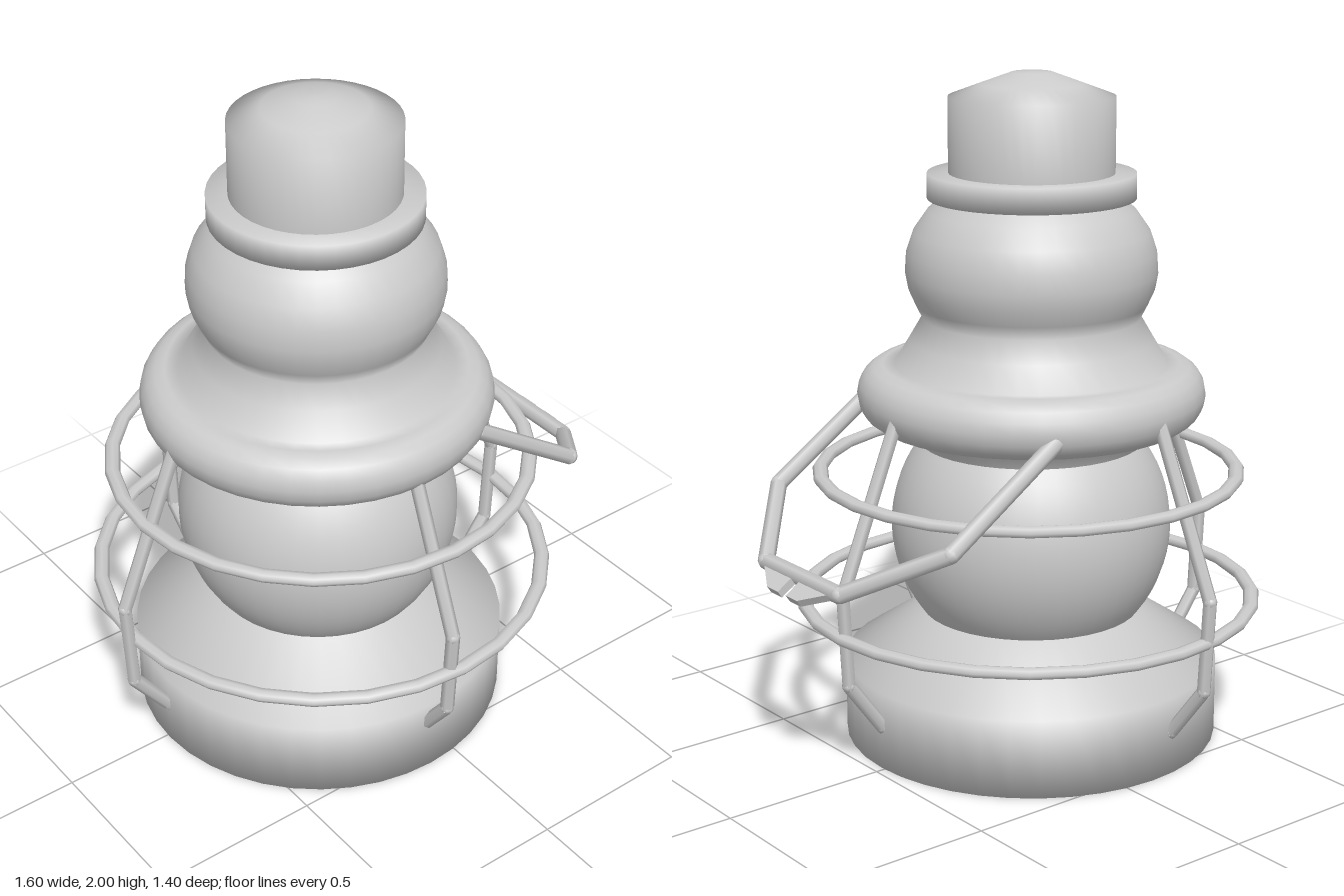
import * as THREE from 'three';

const material = new THREE.MeshStandardMaterial({ color: 0xcccccc, side: THREE.DoubleSide });
const v = (x, y, z) => new THREE.Vector3(x, y, z);

function part(name, geometry) {
  const mesh = new THREE.Mesh(geometry, material);
  mesh.name = name;
  return mesh;
}

// Turned part from [radius, height] pairs, listed bottom to top
function turned(name, profile) {
  return part(name, new THREE.LatheGeometry(profile.map(([r, y]) => new THREE.Vector2(r, y)), 40));
}

// Bent wire: a straight rod per segment and a small ball at each bend
function bentWire(name, points, radius) {
  const wire = new THREE.Group();
  wire.name = name;
  for (let i = 0; i < points.length - 1; i++) {
    const dir = points[i + 1].clone().sub(points[i]);
    const rod = part(name + 'Rod', new THREE.CylinderGeometry(radius, radius, dir.length(), 6));
    rod.position.copy(points[i]).addScaledVector(dir, 0.5);
    rod.quaternion.setFromUnitVectors(v(0, 1, 0), dir.normalize());
    wire.add(rod);
    if (i > 0) {
      const bend = part(name + 'Bend', new THREE.SphereGeometry(radius, 8, 6));
      bend.position.copy(points[i]);
      wire.add(bend);
    }
  }
  return wire;
}

function createBody() {
  const body = new THREE.Group();
  body.name = 'body';

  // Base with a sloping underside and a flat floor
  body.add(turned('base', [[0.4, 0.09], [0.565, 0], [0.565, 0.235], [0.33, 0.39]]));
  body.add(turned('baseFloor', [[0, 0.09], [0.4, 0.09]]));

  // Glass globe, cut flat at both ends
  const globe = [];
  for (let i = 0; i <= 16; i++) {
    const a = THREE.MathUtils.lerp(-0.75, 0.72, i / 16);
    globe.push([0.42 * Math.cos(a), 0.65 + 0.42 * Math.sin(a)]);
  }
  body.add(turned('globe', globe));

  // Collar, rounded band, flared hood and bulging chimney in one smooth profile
  const upper = [[0.315, 0.91], [0.335, 0.91], [0.345, 0.965]];
  for (let i = 0; i <= 8; i++) {
    const a = -Math.PI / 2 + (Math.PI * i) / 8;
    upper.push([0.44 + 0.077 * Math.cos(a), 1.058 + 0.087 * Math.sin(a)]);
  }
  upper.push(
    [0.405, 1.145], [0.36, 1.22], [0.322, 1.285], [0.342, 1.325], [0.362, 1.37], [0.371, 1.42],
    [0.367, 1.48], [0.347, 1.54], [0.305, 1.6], [0.255, 1.645],
  );
  body.add(turned('chimney', upper));

  // Brim and domed cap, softly shaded
  body.add(turned('brim', [[0.2, 1.636], [0.305, 1.636], [0.305, 1.71], [0.2, 1.71]]));
  body.add(turned('cap', [[0.243, 1.71], [0.243, 1.93], [0.15, 1.965], [0.06, 1.998], [0, 2]]));
  return body;
}

function createCage() {
  const cage = new THREE.Group();
  cage.name = 'cage';

  // Four bent guard wires: [angle, x, z]
  const profile = [[0.485, 1.06], [0.685, 0.56], [0.67, 0.285], [0.555, 0.13], [0.43, 0.02]];
  [[0, -0.105, -0.013], [90, -0.089, 0.015], [188, -0.095, 0.01], [270, -0.095, 0.005]].forEach(([deg, x, z]) => {
    const wire = bentWire('guardWire', profile.map(([r, y]) => v(0, y, r)), 0.021);
    wire.position.set(x, 0, z);
    wire.rotation.y = THREE.MathUtils.degToRad(deg);
    cage.add(wire);
  });

  // Two horizontal hoops, slightly flattened
  [[0.622, 0.825], [0.677, 0.435]].forEach(([radius, y]) => {
    const hoop = part('guardHoop', new THREE.TorusGeometry(radius, 0.023, 8, 28));
    hoop.rotation.x = Math.PI / 2;
    hoop.scale.z = 0.75;
    hoop.position.set(-0.072, y, 0.003);
    cage.add(hoop);
  });
  return cage;
}

function createHandle() {
  // Bail laid out in its own plane, then tilted down toward the side
  const handle = new THREE.Group();
  handle.name = 'handle';
  const side = [[0, 0.425], [0.447, 0.425], [0.69, 0.185]];
  const points = [
    ...side.map(([u, z]) => v(u, 0, z)),
    ...side.reverse().map(([u, z]) => v(u, 0, -z)),
  ];
  handle.add(bentWire('bail', points, 0.025));

  // Two thin tapered tabs on the outer bar
  for (const s of [-1, 1]) {
    const shape = new THREE.Shape([[0.69, 0.19], [0.765, 0.075], [0.765, 0.02], [0.69, 0.02]]
      .map(([x, z]) => new THREE.Vector2(x, s * z)));
    const tab = part('handleTab', new THREE.ExtrudeGeometry(shape, { depth: 0.024, bevelEnabled: false }));
    tab.rotation.x = Math.PI / 2;
    tab.position.y = 0.012;
    handle.add(tab);
  }
  handle.position.set(0.16, 1.035, 0.015);
  handle.rotation.z = -0.595;
  return handle;
}

export function createModel() {
  const lantern = new THREE.Group();
  lantern.name = 'lantern';
  const body = createBody();
  body.position.set(-0.093, 0, 0.015);
  lantern.add(body, createCage(), createHandle());
  return lantern;
}
